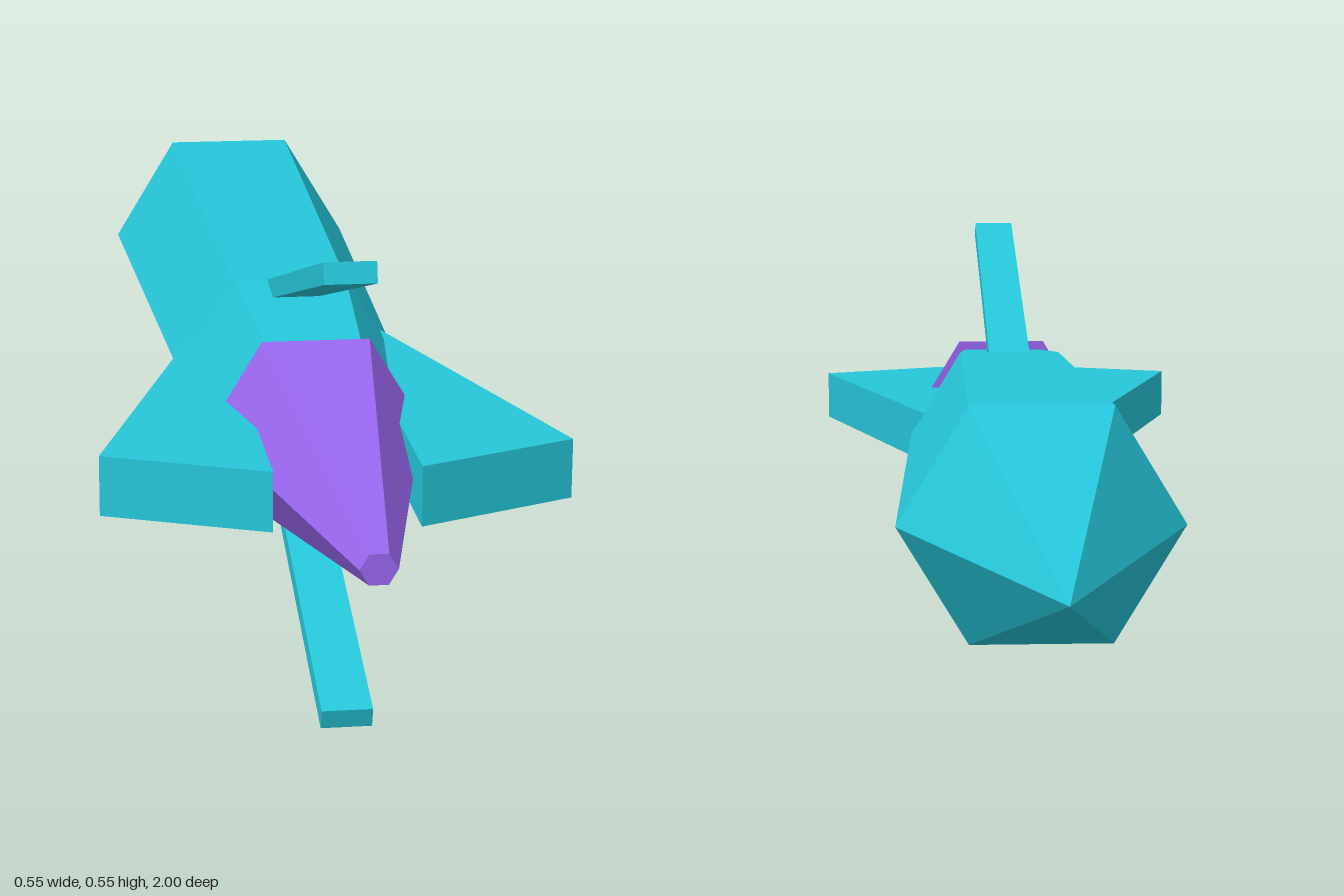
import * as THREE from 'three';

const AXIS_Y = 0.278;

const teal = new THREE.MeshStandardMaterial({ color: 0x26c6da, flatShading: true });
const purple = new THREE.MeshStandardMaterial({ color: 0x9966ee, flatShading: true });

// Closed six-sided solid along z from [radius, z] pairs, slightly flattened in height
function hexSolid(name, profile, material) {
  const points = profile.map(([r, z]) => new THREE.Vector2(r, z));
  const geometry = new THREE.LatheGeometry(points, 6, Math.PI / 2);
  geometry.rotateX(Math.PI / 2).scale(1, 0.955, 1);
  const mesh = new THREE.Mesh(geometry, material);
  mesh.name = name;
  return mesh;
}

// Thin slanted plate, above (side = 1) or below (side = -1) the body
function slantedFin(name, side) {
  const length = 0.6, angle = 0.286;
  const mesh = new THREE.Mesh(new THREE.BoxGeometry(0.06, 0.025, length), teal);
  mesh.position.set(
    0,
    side * (0.265 - Math.sin(angle) * length / 2),
    0.78 - Math.cos(angle) * length / 2
  );
  mesh.rotation.x = -side * angle;
  mesh.name = name;
  return mesh;
}

// Thick flared fin, on the left (side = 1) or right (side = -1)
function flaredFin(name, side) {
  const height = 0.072;
  const outline = [[0.085, 0.1], [0.096, 0.1], [0.276, 0.696], [0.085, 0.775]];
  const shape = new THREE.Shape(outline.map(([x, z]) => new THREE.Vector2(side * x, z)));
  const geometry = new THREE.ExtrudeGeometry(shape, { depth: height, bevelEnabled: false });
  geometry.translate(0, 0, -height / 2).rotateX(Math.PI / 2);
  const mesh = new THREE.Mesh(geometry, teal);
  mesh.name = name;
  return mesh;
}

export function createModel() {
  const model = new THREE.Group();
  model.name = 'rocket';

  // Body with pointed nose and tapered tail, then the exhaust flame
  model.add(hexSolid('body',
    [[0, -1], [0.177, -0.53], [0.146, 0.25], [0.115, 0.51], [0, 0.51]], teal));
  model.add(hexSolid('flame',
    [[0, 0.5], [0.132, 0.5], [0.021, 1], [0, 1]], purple));

  // Four fins around the tail
  model.add(slantedFin('topFin', 1), slantedFin('bottomFin', -1));
  model.add(flaredFin('leftFin', 1), flaredFin('rightFin', -1));

  model.position.y = AXIS_Y;
  const root = new THREE.Group();
  root.add(model);
  return root;
}
